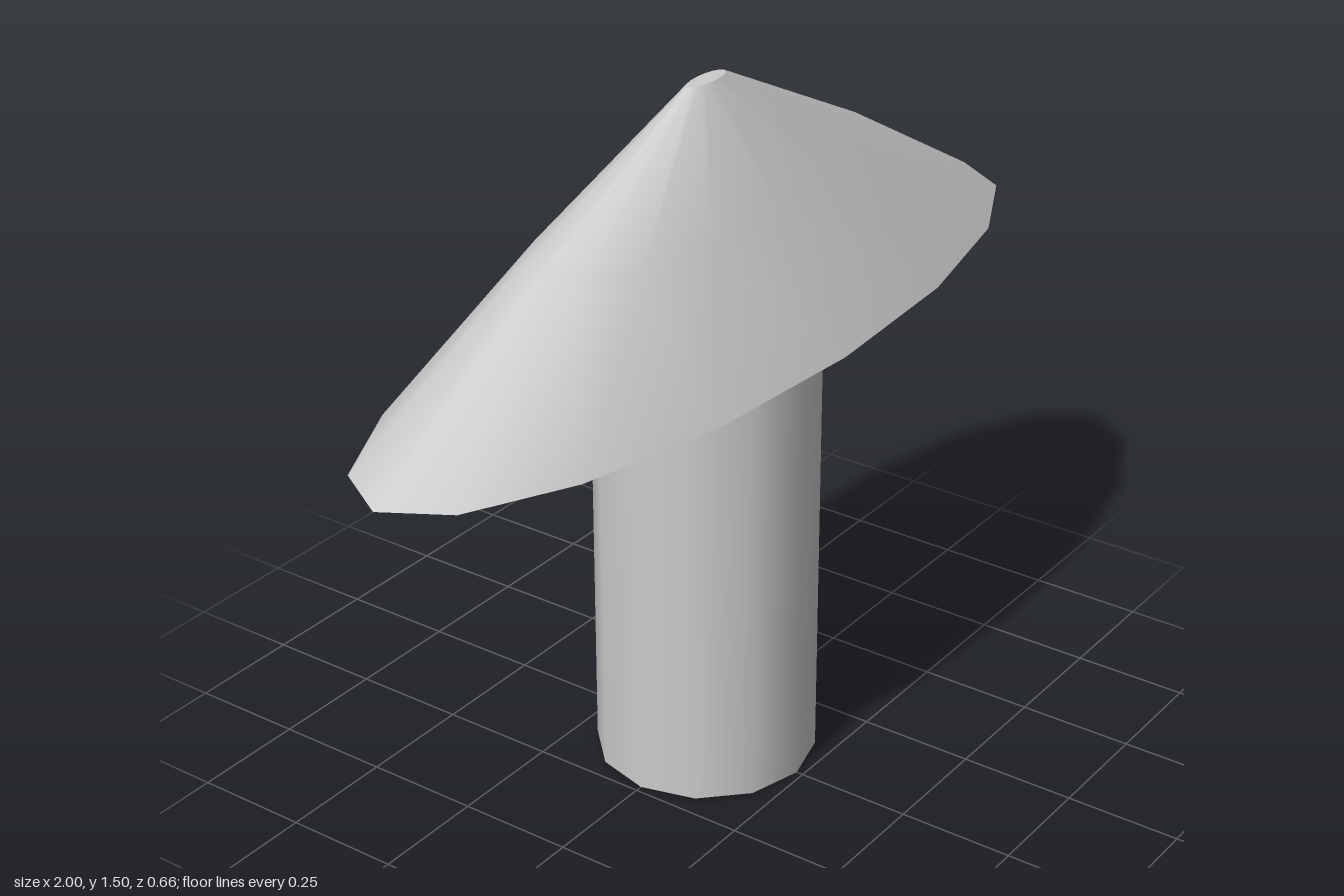
import * as THREE from 'three';

export function createModel() {
  const group = new THREE.Group();
  const lightGrey = new THREE.MeshStandardMaterial({ color: 0xcccccc });
  const depth = 0.332; // the roof is an ellipse, narrow from front to back

  const add = (name, geometry, parent) => {
    const mesh = new THREE.Mesh(geometry, lightGrey);
    mesh.name = name;
    parent.add(mesh);
  };

  // Round stem
  add('stem', new THREE.CylinderGeometry(0.235, 0.235, 1, 12).translate(0, 0.5, 0), group);

  // Elliptical roof: sloping shell with a slight bulge, flat underside and small flat tip
  const roof = new THREE.Group();
  roof.name = 'roof';
  group.add(roof);
  const profile = [[1, 1], [0.535, 1.265], [0.06, 1.5]].map(([x, y]) => new THREE.Vector2(x, y));
  add('roofSlope', new THREE.LatheGeometry(profile, 16).scale(1, 1, depth), roof);
  add('roofUnderside', new THREE.CircleGeometry(1, 16).rotateX(Math.PI / 2).scale(1, 1, depth).translate(0, 1, 0), roof);
  add('roofTip', new THREE.CircleGeometry(0.06, 16).rotateX(-Math.PI / 2).scale(1, 1, depth).translate(0, 1.5, 0), roof);

  return group;
}
